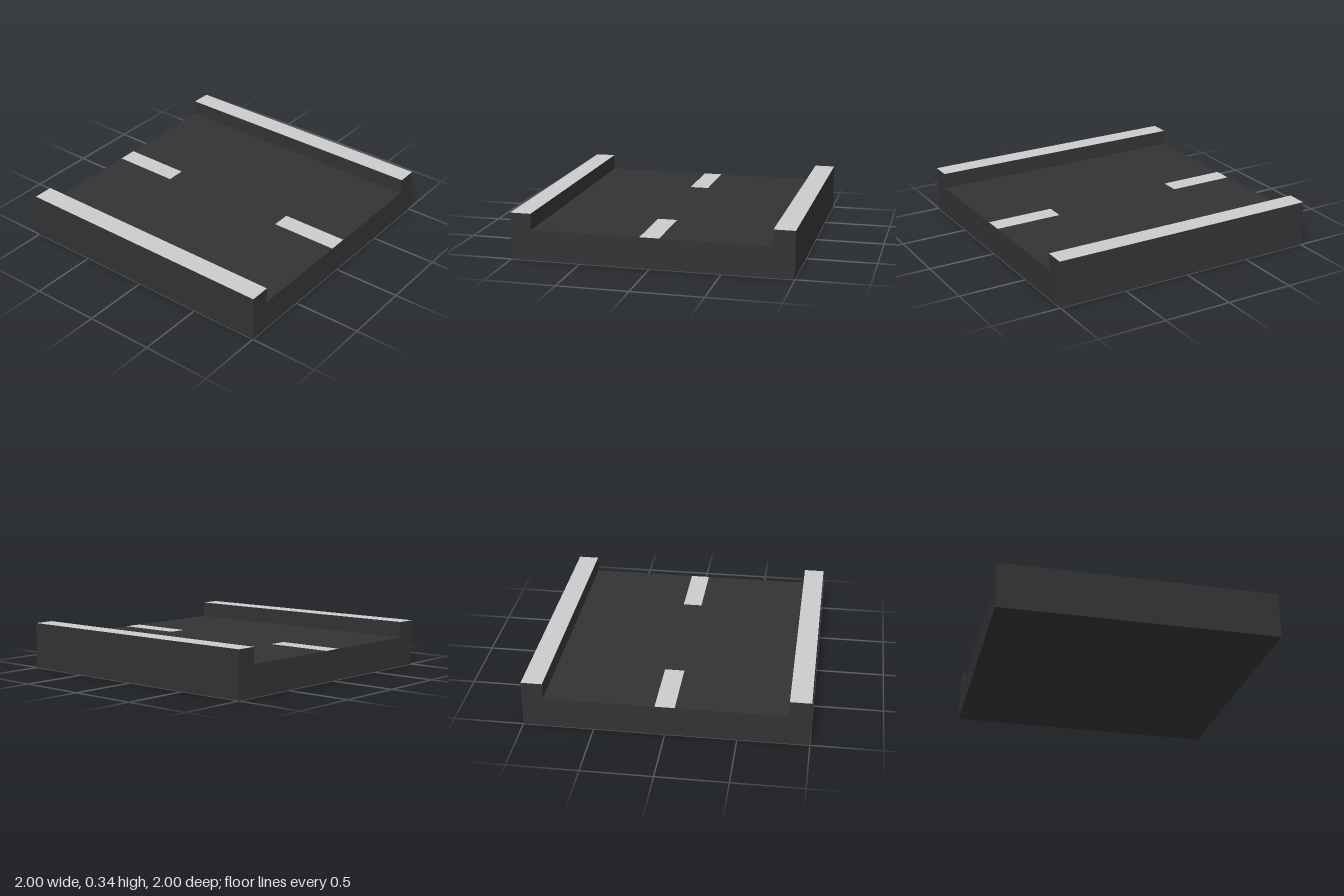
import * as THREE from 'three';

const HEIGHT = 0.335; // top of the kerbs
const DECK = 0.22; // road surface
const KERB = 0.15; // kerb width
const LIFT = 0.001; // paint sits just above the asphalt

const asphalt = new THREE.MeshStandardMaterial({ color: 0x333333 });
const paint = new THREE.MeshStandardMaterial({ color: 0xcccccc });

// Upward-facing painted rectangle
function paintedStrip(name, width, depth, x, y, z) {
  const geometry = new THREE.PlaneGeometry(width, depth).rotateX(-Math.PI / 2);
  const mesh = new THREE.Mesh(geometry, paint);
  mesh.name = name;
  mesh.position.set(x, y + LIFT, z);
  return mesh;
}

export function createModel() {
  const model = new THREE.Group();
  model.name = 'roadTile';

  // Channel-shaped body: road bed with a raised kerb along each side
  const inner = 1 - KERB;
  const profile = new THREE.Shape([
    [-1, 0], [1, 0], [1, HEIGHT], [inner, HEIGHT],
    [inner, DECK], [-inner, DECK], [-inner, HEIGHT], [-1, HEIGHT],
  ].map(([z, y]) => new THREE.Vector2(z, y)));
  const bodyGeometry = new THREE.ExtrudeGeometry(profile, { depth: 2, bevelEnabled: false });
  bodyGeometry.translate(0, 0, -1).rotateY(Math.PI / 2);
  const body = new THREE.Mesh(bodyGeometry, asphalt);
  body.name = 'roadBody';
  model.add(body);

  for (const side of [-1, 1]) {
    // Light kerb tops at front and back
    model.add(paintedStrip(side > 0 ? 'frontKerbTop' : 'backKerbTop',
      2, KERB, 0, HEIGHT - LIFT, side * (1 - KERB / 2)));
    model.children.at(-1).position.y = HEIGHT + LIFT;
    // Half lane dashes reaching in from the left and right edges
    model.add(paintedStrip(side > 0 ? 'leftLaneDash' : 'rightLaneDash',
      0.5, 0.14, side * 0.75, DECK, 0));
  }
  return model;
}
